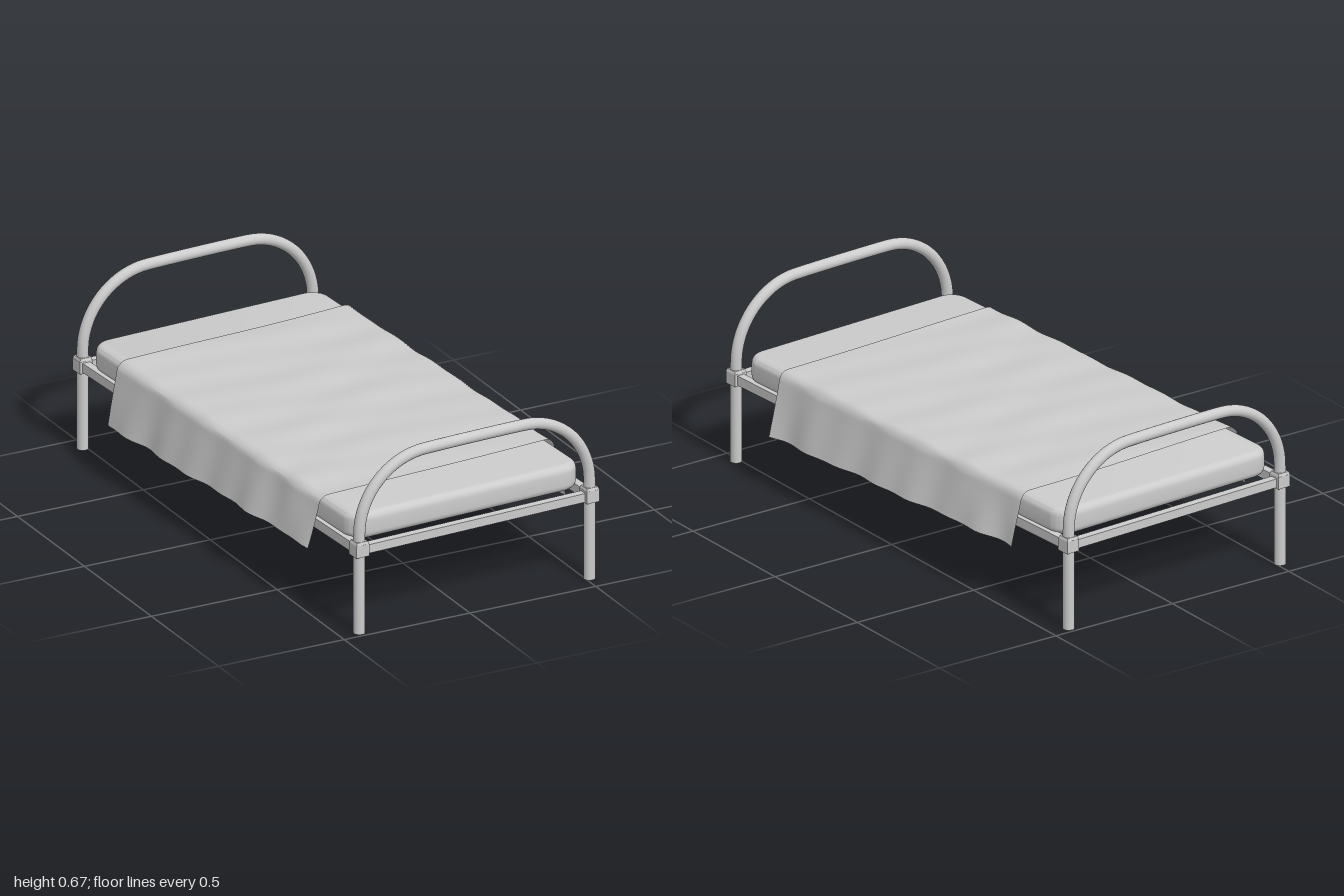
import * as THREE from 'three';
import { toCreasedNormals } from 'three/addons/utils/BufferGeometryUtils.js';

const HX = 0.47, HZ = 0.948;   // half distances between the posts
const R = 0.021;               // tube radius
const metal = new THREE.MeshStandardMaterial({ color: 0xcccccc });
const cloth = new THREE.MeshStandardMaterial({ color: 0xcccccc, side: THREE.DoubleSide });

function add(parent, name, geometry, x = 0, y = 0, z = 0, material = metal) {
  const mesh = new THREE.Mesh(geometry, material);
  mesh.name = name;
  mesh.position.set(x, y, z);
  parent.add(mesh);
  return mesh;
}

// Arch tube: two uprights joined by quarter bends and a straight top
function archGeometry() {
  const bend = 0.27, top = 0.645, pts = [];
  pts.push(new THREE.Vector3(-HX, 0.34, 0));
  for (const s of [-1, 1]) {
    for (let i = 0; i <= 12; i++) {
      const a = (s < 0 ? i : 12 - i) / 12 * Math.PI / 2;
      pts.push(new THREE.Vector3(s * (HX - bend + bend * Math.cos(a)), top - bend + bend * Math.sin(a), 0));
    }
  }
  pts.push(new THREE.Vector3(HX, 0.34, 0));
  return new THREE.TubeGeometry(new THREE.CatmullRomCurve3(pts, false, 'centripetal'), 90, R, 18);
}

// Mattress: rounded rectangle with soft bevelled edges
function mattressGeometry() {
  const b = 0.028, w = 0.472 - b, l = 0.905 - b, r = 0.045, s = new THREE.Shape();
  s.moveTo(w, -l + r);
  s.absarc(w - r, l - r, r, 0, Math.PI / 2);
  s.absarc(-w + r, l - r, r, Math.PI / 2, Math.PI);
  s.absarc(-w + r, -l + r, r, Math.PI, Math.PI * 1.5);
  s.absarc(w - r, -l + r, r, Math.PI * 1.5, Math.PI * 2);
  const g = new THREE.ExtrudeGeometry(s, {
    depth: 0.1 - 2 * b, bevelEnabled: true, bevelSize: b, bevelThickness: b, bevelSegments: 6, curveSegments: 8,
  });
  g.rotateX(-Math.PI / 2);
  g.translate(0, 0.325 + b, 0);
  return toCreasedNormals(g, 0.7);
}

// Blanket: a sheet laid over the mattress with hanging, gently wrinkled sides
function blanketGeometry() {
  const nx = 70, nz = 100;
  const g = new THREE.PlaneGeometry(2, 2, nx, nz).rotateX(-Math.PI / 2);
  const p = g.attributes.position;
  for (let i = 0; i < p.count; i++) {
    const u = p.getX(i), v = p.getZ(i), s = Math.sign(u), a = Math.abs(u);
    const z = v * 0.69 - 0.013 * u;
    const bottom = 0.222 - 0.022 * s * v;
    let x, y, drop = 0;
    if (a < 0.65) {
      x = a / 0.65 * 0.45;
      y = 0.433;
    } else if (a < 0.78) {
      const t = (a - 0.65) / 0.13 * Math.PI / 2;
      x = 0.45 + 0.038 * Math.sin(t);
      y = 0.433 - 0.038 * (1 - Math.cos(t));
    } else {
      drop = (a - 0.78) / 0.22;
      x = 0.488 + 0.042 * drop;
      y = 0.395 + (bottom - 0.395) * drop;
    }
    const fold = Math.sin(z * 17 + 2.2 * u + 1.3 * Math.sin(u * 3 + z * 4)) * 0.6
      + Math.sin(z * 31 - 3 * u + 2) * 0.4;
    if (a < 0.72) y += 0.004 * fold + 0.003 * u;
    x += (a > 0.72 ? 0.004 + 0.006 * drop : 0) * fold;
    p.setXYZ(i, s * x, y, z);
  }
  g.computeVertexNormals();
  return g;
}

export function createModel() {
  const model = new THREE.Group();
  model.name = 'bed';
  const bed = new THREE.Group();
  bed.name = 'bedAssembly';
  bed.rotation.y = 0.048;   // the bed stands slightly askew
  model.add(bed);

  // Legs, corner brackets and arches
  const leg = new THREE.CylinderGeometry(R, R, 0.31, 24);
  const bracket = new THREE.BoxGeometry(0.052, 0.046, 0.052);
  const collar = new THREE.CylinderGeometry(0.031, 0.036, 0.01, 4).rotateY(Math.PI / 4);
  const arch = archGeometry();
  for (const sz of [1, -1]) {
    for (const sx of [1, -1]) {
      const side = (sz > 0 ? 'front' : 'back') + (sx > 0 ? 'Left' : 'Right');
      add(bed, side + 'Leg', leg, sx * HX, 0.155, sz * HZ);
      add(bed, side + 'Bracket', bracket, sx * HX, 0.32, sz * HZ);
      add(bed, side + 'Collar', toCreasedNormals(collar, 0.5), sx * HX, 0.348, sz * HZ);
    }
    add(bed, sz > 0 ? 'footArch' : 'headArch', arch, 0, 0, sz * HZ);
    // End rail between the brackets
    add(bed, sz > 0 ? 'frontRail' : 'backRail', new THREE.BoxGeometry(2 * HX, 0.033, 0.03), 0, 0.318, sz * HZ);
  }

  // Side rails
  for (const s of [1, -1]) {
    add(bed, s > 0 ? 'leftRail' : 'rightRail', new THREE.BoxGeometry(0.03, 0.036, 2 * HZ), s * HX, 0.319, 0);
  }

  // Slats under the mattress
  const slat = new THREE.BoxGeometry(2 * HX - 0.02, 0.022, 0.028);
  for (let i = 1; i <= 13; i++) add(bed, 'slat', slat, 0, 0.316, -HZ + i * 2 * HZ / 14);

  add(bed, 'mattress', mattressGeometry());
  add(bed, 'blanket', blanketGeometry(), 0, 0, 0, cloth);
  return model;
}
